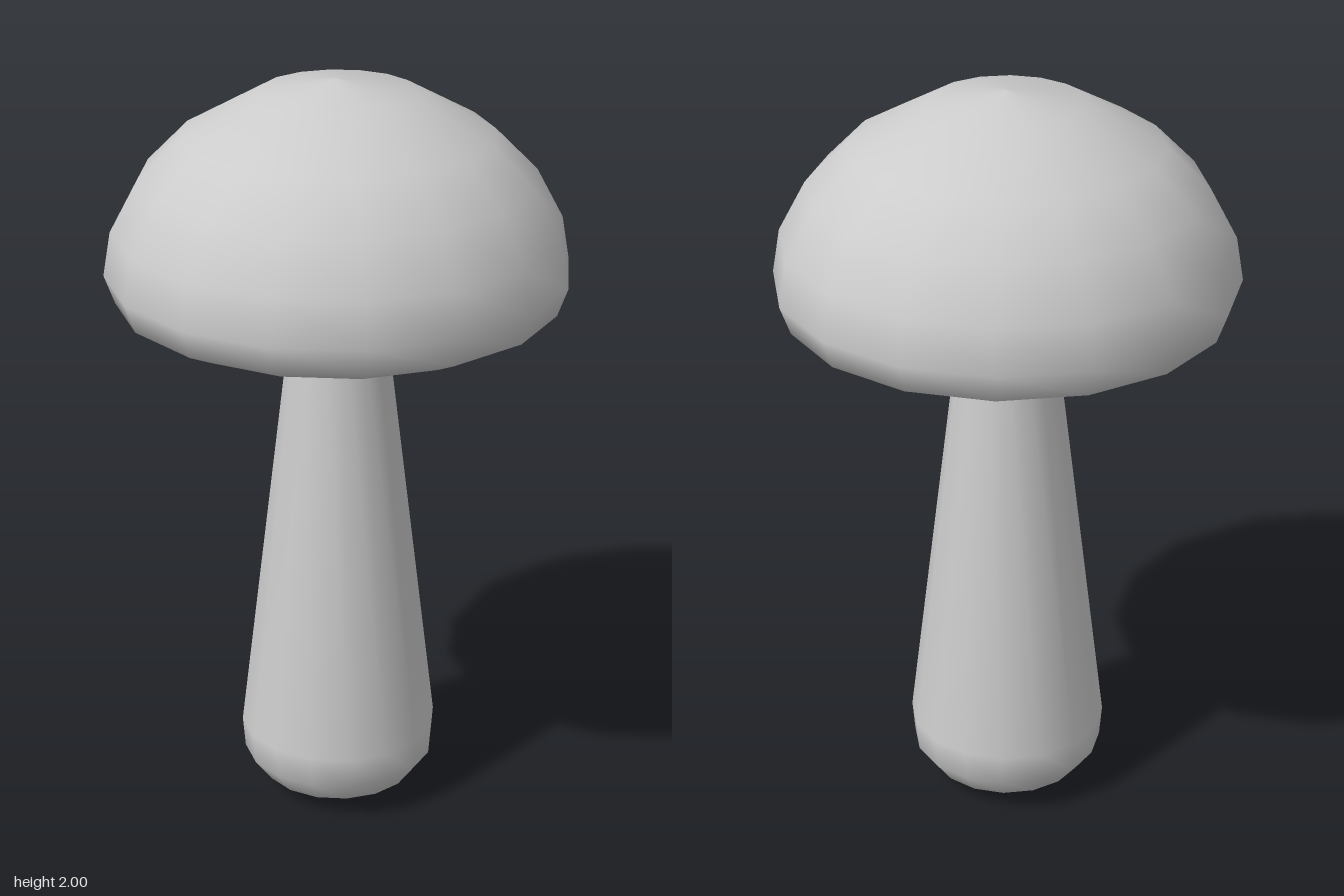
import * as THREE from 'three';

const SIDES = 16;

// Surface of revolution from [radius, height] pairs, listed bottom to top along the outside
function turned(name, profile, material) {
  const points = profile.map(([r, y]) => new THREE.Vector2(r, y));
  const mesh = new THREE.Mesh(new THREE.LatheGeometry(points, SIDES), material);
  mesh.name = name;
  return mesh;
}

export function createModel() {
  const group = new THREE.Group();
  group.name = 'mushroom';
  const material = new THREE.MeshStandardMaterial({ color: 0xcccccc, side: THREE.DoubleSide });

  // Tapered stem: bulbous open foot, slim neck flaring into the cap
  group.add(turned('stem', [
    [0.12, 0], [0.21, 0.05], [0.258, 0.115], [0.265, 0.2],
    [0.12, 1.4], [0.135, 1.45],
  ], material));

  // Cap: slightly hollow underside, rolled rim, domed top
  group.add(turned('cap', [
    [0.135, 1.45], [0.5, 1.395], [0.573, 1.43], [0.6, 1.505], [0.58, 1.62],
    [0.51, 1.75], [0.4, 1.86], [0.2, 1.97], [0, 2],
  ], material));

  return group;
}
